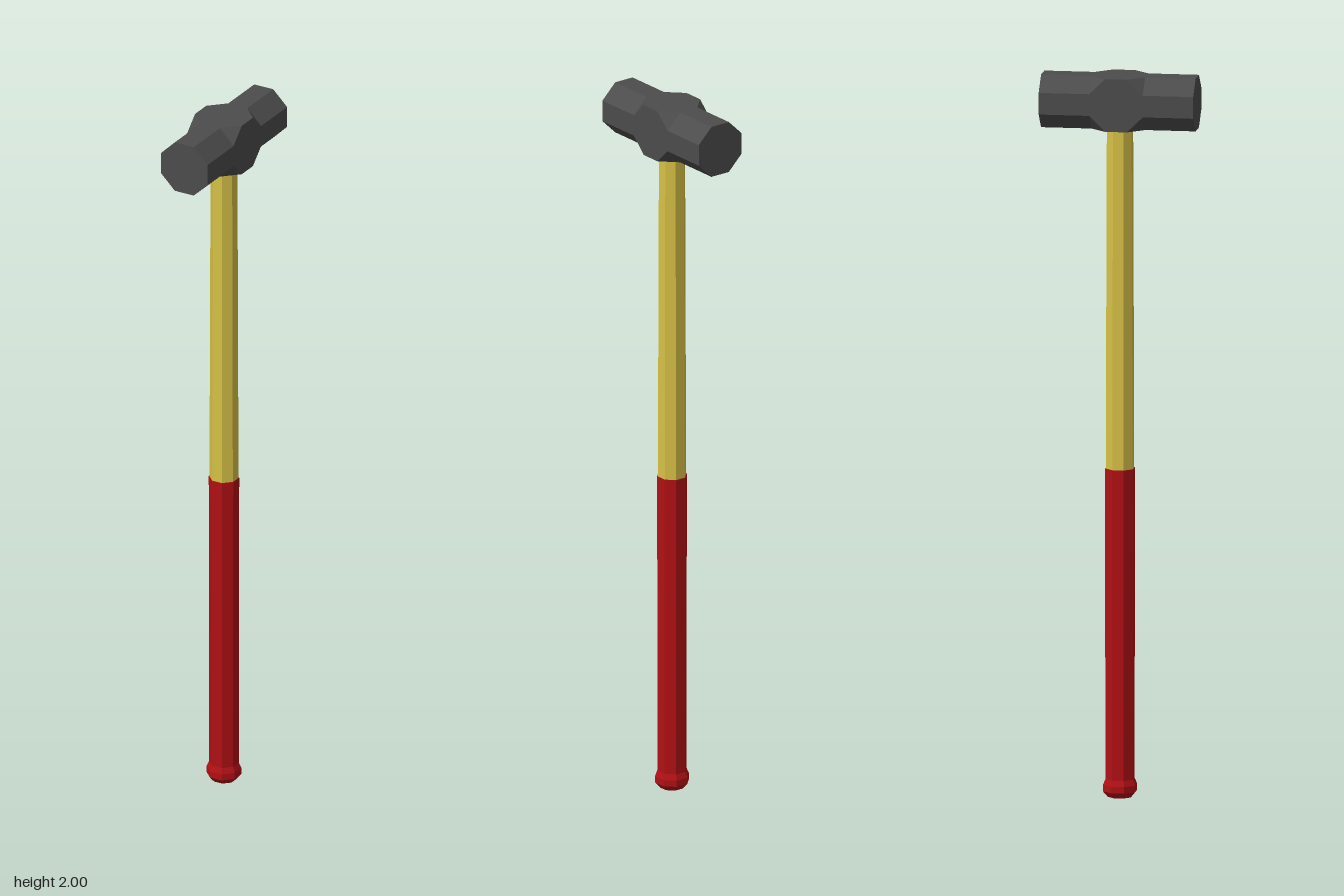
import * as THREE from 'three';

const material = (name, color) => {
  const m = new THREE.MeshStandardMaterial({ color });
  m.name = name;
  return m;
};

// Loft a head along z: octagonal poles that swell to a full square in the middle
function headGeometry(half, flat, height, length) {
  const h = height / 2;
  const octagon = [
    [half, -flat], [half, flat], [flat, h], [-flat, h],
    [-half, flat], [-half, -flat], [-flat, -h], [flat, -h],
  ];
  const square = octagon.map(([x, y]) => [Math.sign(x) * half, Math.sign(y) * h]);
  const rings = [
    [octagon, -length / 2], [octagon, -half], [square, -flat],
    [square, flat], [octagon, half], [octagon, length / 2],
  ].map(([shape, z]) => shape.map(([x, y]) => new THREE.Vector3(x, y, z)));

  const points = [];
  const triangle = (a, b, c) => {
    if (!a.equals(b) && !b.equals(c) && !c.equals(a)) points.push(a, b, c);
  };
  for (let r = 0; r < rings.length - 1; r++) {
    for (let i = 0; i < 8; i++) {
      const j = (i + 1) % 8;
      triangle(rings[r][i], rings[r][j], rings[r + 1][j]);
      triangle(rings[r][i], rings[r + 1][j], rings[r + 1][i]);
    }
  }
  // Striking faces
  const back = rings[0], front = rings[rings.length - 1];
  for (let i = 1; i < 7; i++) {
    triangle(front[0], front[i], front[i + 1]);
    triangle(back[0], back[i + 1], back[i]);
  }
  const geometry = new THREE.BufferGeometry().setFromPoints(points);
  geometry.computeVertexNormals();
  return geometry;
}

export function createModel() {
  const steel = material('dark steel', 0x4c4c4c);
  const wood = material('yellow handle', 0xd6c046);
  const rubber = material('red grip', 0xb01014);
  for (const m of [steel, wood, rubber]) m.flatShading = true;

  const group = new THREE.Group();
  const add = (name, geometry, mat, y = 0) => {
    const mesh = new THREE.Mesh(geometry, mat);
    mesh.name = name;
    mesh.position.y = y;
    group.add(mesh);
    return mesh;
  };

  // Faceted turned part from a radius/height profile, flats facing the axes
  const SIDES = 8;
  const turned = (profile) => new THREE.LatheGeometry(
    profile.map(([r, y]) => new THREE.Vector2(r, y)), SIDES, Math.PI / SIDES);

  add('head', headGeometry(0.074, 0.03, 0.146, 0.426), steel, 1.927);
  add('handle', turned([[0.04, 0.9], [0.037, 1.87]]), wood);
  // Grip sleeve with a flared, bevelled butt
  add('grip', turned([
    [0, 0], [0.034, 0], [0.048, 0.016], [0.048, 0.034], [0.041, 0.05],
    [0.042, 0.91], [0.039, 0.91],
  ]), rubber);
  return group;
}
